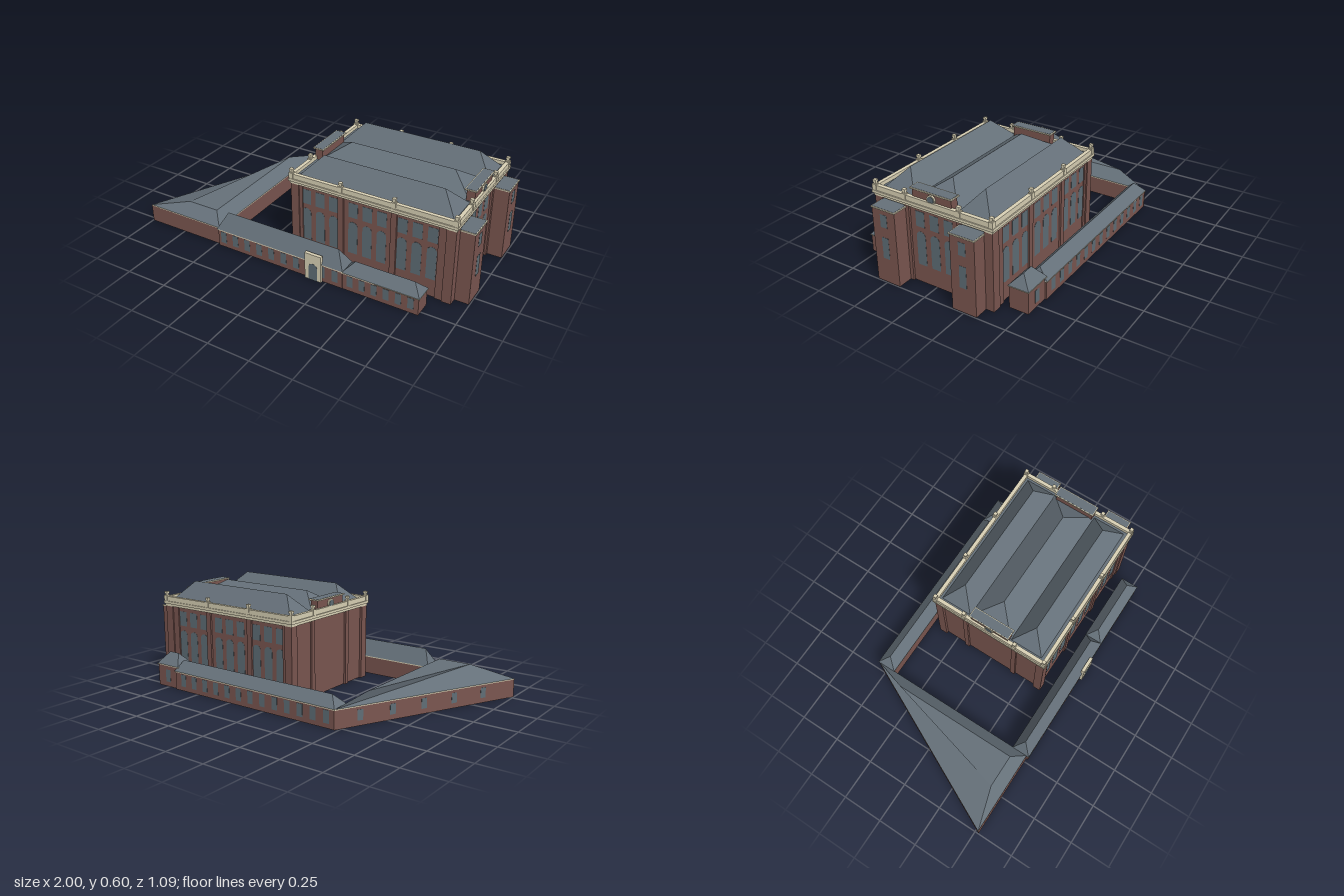
import * as THREE from 'three';

const mat = (name, color, side = THREE.DoubleSide) => {
  const m = new THREE.MeshStandardMaterial({ color, side });
  m.name = name;
  return m;
};

export function createModel() {
  const brick = mat('brick', 0x7b5650);
  const stone = mat('stone', 0xdad2b6);
  const slate = mat('slate', 0x66717a);
  const glass = mat('glass', 0x5f6e76, THREE.FrontSide);
  const model = new THREE.Group();
  model.name = 'palace';

  const group = (name) => {
    const g = new THREE.Group();
    g.name = name;
    model.add(g);
    return g;
  };
  const add = (parent, name, geometry, material) => {
    const m = new THREE.Mesh(geometry, material);
    m.name = name;
    parent.add(m);
    return m;
  };
  // Box given by its limits
  const box = (parent, name, material, x0, x1, y0, y1, z0, z1) => {
    const m = add(parent, name, new THREE.BoxGeometry(x1 - x0, y1 - y0, z1 - z0), material);
    m.position.set((x0 + x1) / 2, (y0 + y1) / 2, (z0 + z1) / 2);
  };
  // Flat faces from convex polygons, corners counter-clockwise
  const faces = (polygons) => {
    const p = [];
    for (const f of polygons)
      for (let i = 1; i < f.length - 1; i++) p.push(...f[0], ...f[i], ...f[i + 1]);
    const g = new THREE.BufferGeometry();
    g.setAttribute('position', new THREE.Float32BufferAttribute(p, 3));
    g.computeVertexNormals();
    return g;
  };
  // Upright walls along a closed plan of [x, z] points, open above and below
  const walls = (parent, name, material, plan, y0, y1) =>
    add(parent, name, faces(plan.map(([ax, az], i) => {
      const [bx, bz] = plan[(i + 1) % plan.length];
      return [[ax, y0, az], [bx, y0, bz], [bx, y1, bz], [ax, y1, az]];
    })), material);
  const rect = (x0, x1, z0, z1) => [[x0, z1], [x1, z1], [x1, z0], [x0, z0]];
  // Hipped roof with its ridge along x
  const hipRoof = (parent, name, x0, x1, z0, z1, y0, r0, r1, y1) => {
    const zr = (z0 + z1) / 2;
    const a = [x0, y0, z1], b = [x1, y0, z1], c = [x1, y0, z0], d = [x0, y0, z0];
    const p = [r0, y1, zr], q = [r1, y1, zr];
    add(parent, name, faces([[a, b, q, p], [b, c, q], [c, d, p, q], [d, a, p]]), slate);
  };
  // Stone slab with a slate top inside a stone edge
  const cap = (parent, name, x0, x1, y, z0, z1) => {
    box(parent, name, stone, x0, x1, y, y + 0.007, z0, z1);
    box(parent, name + 'Top', slate, x0 + 0.005, x1 - 0.005, y + 0.006, y + 0.008, z0 + 0.005, z1 - 0.005);
  };
  // Thin window plate facing +z before turning
  const pane = (parent, name, x, z, w, y0, y1, turn = 0, arched = false) => {
    const s = new THREE.Shape();
    s.moveTo(-w / 2, y0);
    s.lineTo(w / 2, y0);
    if (arched) s.absarc(0, y1 - w / 2, w / 2, 0, Math.PI, false);
    else s.lineTo(w / 2, y1).lineTo(-w / 2, y1);
    s.closePath();
    const g = new THREE.ExtrudeGeometry(s, { depth: 0.001, bevelEnabled: false, curveSegments: 8 });
    const m = add(parent, name, g.translate(0, 0, 0.001), glass);
    m.position.set(x, 0, z);
    m.rotation.y = turn;
  };

  // ---- Main block: plan with corner piers and pilasters, front half mirrored to the back ----
  const main = group('mainBlock');
  const X1 = 0.895, Z0 = -0.36, Z1 = 0.35, ZC = -0.005;
  const half = [
    [-0.06, 0.147], [-0.072, 0.147], [-0.072, 0.177], [-0.06, 0.177], [-0.06, 0.315], [-0.075, 0.315],
    [-0.075, 0.365], [-0.025, 0.365], [-0.025, 0.358], [-0.005, 0.358], [-0.005, Z1],
    ...[0.24, 0.56].flatMap((x) =>
      [[x - 0.017, Z1], [x - 0.017, 0.361], [x + 0.017, 0.361], [x + 0.017, Z1]]),
    [0.815, Z1], [0.815, 0.358], [0.858, 0.358], [0.858, 0.365], [0.913, 0.365],
    [0.913, 0.315], [X1, 0.315], [X1, 0.177], [0.907, 0.177], [0.907, 0.147], [X1, 0.147],
  ];
  const mirrored = half.map(([x, z]) => [x, 2 * ZC - z]).reverse();
  walls(main, 'mainWalls', brick, [...half, ...mirrored], 0, 0.46);

  // Three bays with three windows each, on two floors
  for (const [z, turn] of [[Z1, 0], [Z0, Math.PI]])
    for (const centre of [0.105, 0.4, 0.695])
      for (const k of [-1, 0, 1]) {
        const x = centre + k * 0.087;
        pane(main, 'archedWindow', x, z, 0.057, 0.11, 0.312, turn, true);
        pane(main, 'upperWindow', x, z, 0.057, 0.34, 0.43, turn);
      }
  for (const k of [-1, 0, 1]) {
    pane(main, 'archedWindow', X1, ZC + k * 0.09, 0.057, 0.11, 0.312, Math.PI / 2, true);
    pane(main, 'upperWindow', X1, ZC + k * 0.09, 0.055, 0.34, 0.43, Math.PI / 2);
  }

  // Side towers
  for (const s of [-1, 1]) {
    const z = ZC + s * 0.247;
    walls(main, 'sideTower', brick, rect(X1, 0.995, z - 0.074, z + 0.074), 0, 0.437);
    cap(main, 'towerCap', X1, 1.0, 0.436, z - 0.078, z + 0.078);
    pane(main, 'towerWindow', 0.995, z, 0.043, 0.148, 0.275, Math.PI / 2);
    pane(main, 'towerWindow', 0.995, z, 0.043, 0.335, 0.41, Math.PI / 2);
  }

  // Cornice, gutter and parapet rings
  const ring = (name, material, o, t, y0, y1) => {
    const x0 = -0.075 - o, x1 = 0.913 + o, z0 = -0.375 - o, z1 = 0.365 + o;
    box(main, name, material, x0, x1, y0, y1, z1 - t, z1);
    box(main, name, material, x0, x1, y0, y1, z0, z0 + t);
    box(main, name, material, x0, x0 + t, y0, y1, z0 + t, z1 - t);
    box(main, name, material, x1 - t, x1, y0, y1, z0 + t, z1 - t);
  };
  ring('cornice', stone, 0.003, 0.05, 0.455, 0.47);
  ring('corniceLedge', stone, 0.01, 0.035, 0.47, 0.486);
  ring('gutter', slate, -0.015, 0.04, 0.47, 0.494);
  ring('parapet', stone, 0.004, 0.022, 0.486, 0.515);

  // Pedestals with finials
  const finial = (x, z) => {
    const block = (name, r, y0, y1) => box(main, name, stone, x - r, x + r, y0, y1, z - r, z + r);
    block('pedestal', 0.013, 0.486, 0.521);
    block('finialNeck', 0.007, 0.521, 0.531);
    block('finial', 0.01, 0.531, 0.544);
  };
  for (const z of [-0.37, 0.36])
    for (const x of [-0.07, 0.24, 0.56, 0.908]) finial(x, z);
  for (const x of [-0.07, 0.908])
    for (const z of [-0.175, 0.165]) finial(x, z);

  // Three parallel hipped roofs
  hipRoof(main, 'frontRoof', -0.045, 0.883, 0.125, 0.33, 0.492, 0.06, 0.78, 0.6);
  hipRoof(main, 'middleRoof', -0.045, 0.883, -0.15, 0.125, 0.492, 0.1, 0.735, 0.586);
  hipRoof(main, 'backRoof', -0.045, 0.883, -0.345, -0.15, 0.492, 0.06, 0.78, 0.604);

  // Attic blocks with a round window at both ends
  for (const s of [-1, 1]) {
    const x = s > 0 ? 0.88 : -0.043;
    walls(main, 'attic', brick, rect(x - 0.024, x + 0.024, -0.128, 0.118), 0.49, 0.561);
    cap(main, 'atticCap', x - 0.034, x + 0.034, 0.56, -0.136, 0.126);
    for (const [name, r, out, m] of [['roundFrame', 0.026, 0.033, stone], ['roundWindow', 0.02, 0.035, glass]]) {
      const disc = add(main, name, new THREE.CylinderGeometry(r, r, 0.02, 20), m);
      disc.rotation.z = Math.PI / 2;
      disc.position.set(x + s * (out - 0.01), 0.528, ZC);
    }
  }

  // ---- Low wings ----
  const wing = (name, x0, x1, z0, z1, h, r0, r1, top) => {
    const g = group(name);
    const o = 0.005;
    walls(g, 'wingWalls', brick, rect(x0, x1, z0, z1), 0, h);
    walls(g, 'eaves', stone, rect(x0 - o, x1 + o, z0 - o, z1 + o), h - 0.006, h);
    hipRoof(g, 'wingRoof', x0 - o, x1 + o, z0 - o, z1 + o, h, r0, r1, top);
    return g;
  };
  const front = wing('frontWing', -0.48, 0.35, 0.432, 0.533, 0.113, -0.435, 0.3, 0.21);
  const end = wing('frontEndWing', 0.353, 0.803, 0.43, 0.532, 0.108, 0.405, 0.755, 0.166);
  const back = wing('backWing', -0.48, 0.68, -0.538, -0.432, 0.113, -0.43, 0.66, 0.172);
  const pavilion = wing('pavilion', 0.672, 0.836, -0.528, -0.414, 0.135, 0.72, 0.79, 0.202);
  for (let i = 0; i < 10; i++)
    if (i !== 7) pane(front, 'wingWindow', -0.442 + i * 0.083, 0.533, 0.038, 0.027, 0.1);
  for (let i = 0; i < 6; i++)
    pane(end, 'wingWindow', 0.398 + i * 0.072, 0.532, 0.035, 0.027, 0.095);
  for (let i = 0; i < 13; i++)
    pane(back, 'wingWindow', -0.43 + i * 0.087, -0.538, 0.038, 0.027, 0.1, Math.PI);
  pane(pavilion, 'wingWindow', 0.755, -0.528, 0.038, 0.03, 0.105, Math.PI);

  // Entrance portal
  const portal = group('portal');
  box(portal, 'portalFrame', stone, 0.123, 0.225, 0, 0.166, 0.528, 0.548);
  pane(portal, 'portalDoor', 0.176, 0.548, 0.055, 0, 0.108, 0, true);

  // ---- Wedge-shaped wing ----
  const wedge = group('wedgeWing');
  const plan = [[-0.997, 0.522], [-0.482, 0.522], [-0.482, -0.54]];
  walls(wedge, 'wedgeWalls', brick, plan, 0, 0.105);
  walls(wedge, 'wedgeEaves', stone, plan, 0.105, 0.111);
  const e = plan.map(([x, z]) => [x, 0.111, z]);
  const t = [[-0.75, 0.172, 0.45], [-0.55, 0.172, 0.45], [-0.55, 0.172, -0.33]];
  add(wedge, 'wedgeRoof', faces([
    [e[0], e[1], t[1], t[0]], [e[1], e[2], t[2], t[1]], [e[2], e[0], t[0], t[2]], t,
  ]), slate);
  const dx = plan[0][0] - plan[2][0], dz = plan[0][1] - plan[2][1];
  for (const k of [0.13, 0.3, 0.47, 0.64, 0.81])
    pane(wedge, 'wedgeWindow', plan[2][0] + dx * k, plan[2][1] + dz * k, 0.035, 0.03, 0.09,
      Math.atan2(-dz, dx));

  return model;
}
